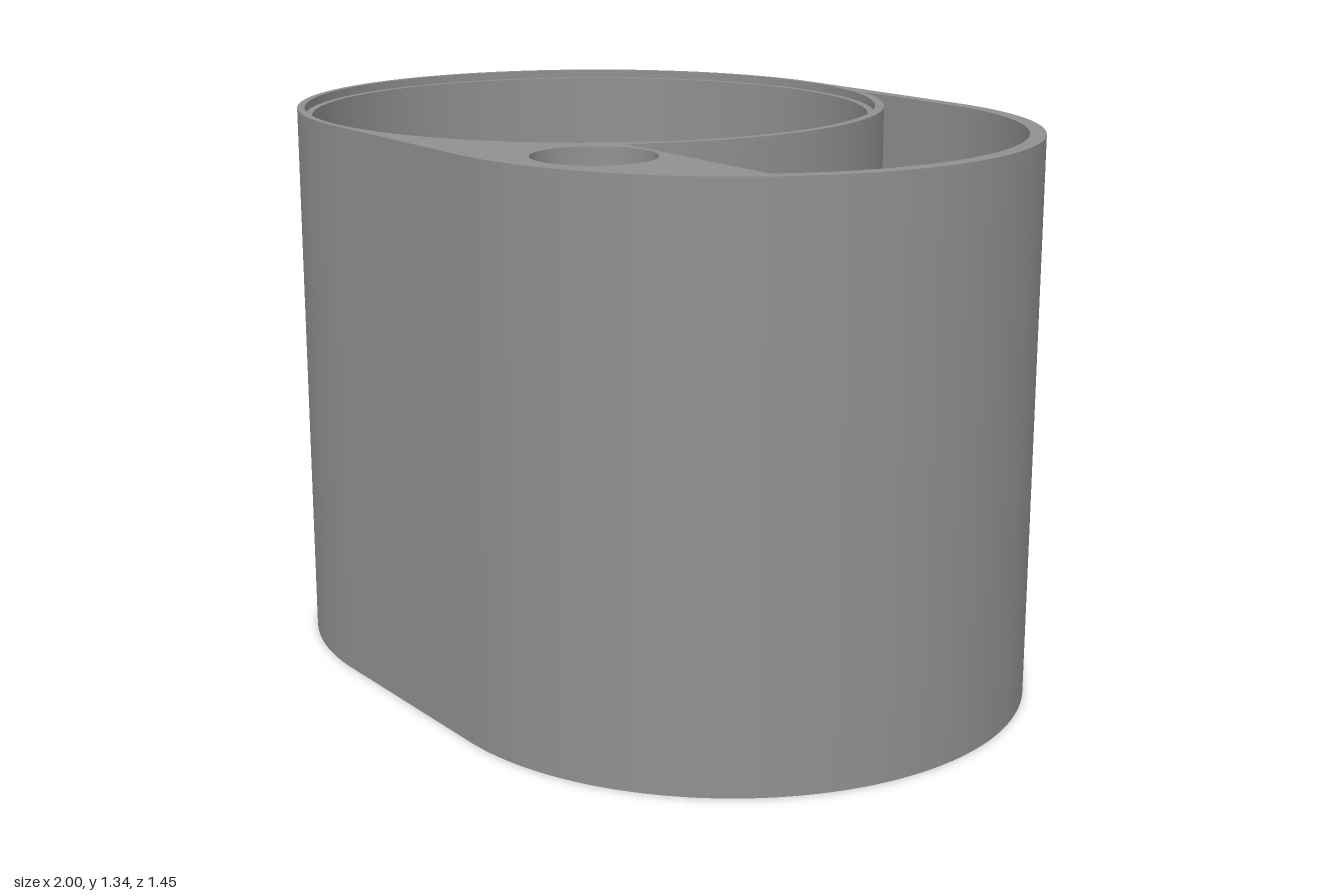
import * as THREE from 'three';
import { toCreasedNormals } from 'three/addons/utils/BufferGeometryUtils.js';

const H = 1.335;       // overall height
const C = 0.2775;      // offset of the two round ends from the middle
const R = 0.7225;      // radius of the round ends
const FLOOR = 0.05;    // floor level of the wells
const LEDGE = 1.0;     // level of the step in the side pocket
const RIM = 0.02;      // depth of the step in the round well
const SEG = 64;

// Outlines are drawn in plan, with shape y pointing to the back.
function stadium() {
  const s = new THREE.Shape();
  s.absarc(C, 0, R, -Math.PI / 2, Math.PI / 2, false);
  s.absarc(-C, 0, R, Math.PI / 2, Math.PI * 1.5, false);
  s.closePath();
  return s;
}

function circle(x, z, r) {
  return new THREE.Shape().absarc(x, -z, r, 0, Math.PI * 2, false);
}

// Pocket between the round well, the outer wall and a straight front edge.
function pocket(rOut, rIn, zFront) {
  const s = new THREE.Shape();
  s.moveTo(-C + Math.sqrt(rIn * rIn - rOut * rOut), rOut);
  s.lineTo(C, rOut);
  s.absarc(C, 0, rOut, Math.PI / 2, -Math.asin(zFront / rOut), true);
  s.lineTo(-C + Math.sqrt(rIn * rIn - zFront * zFront), -zFront);
  s.absarc(-C, 0, rIn, -Math.asin(zFront / rIn), Math.asin(rOut / rIn), false);
  return s;
}

// Horizontal face at height y, with optional openings.
function flat(outline, holes, y) {
  const s = outline.clone();
  s.holes = holes;
  return new THREE.ShapeGeometry(s, SEG).rotateX(-Math.PI / 2).translate(0, y, 0);
}

// Vertical wall that follows an outline from y0 up to y1.
function wall(outline, y0, y1) {
  const pts = outline.getPoints(SEG).filter((p, i, a) => i === 0 || p.distanceTo(a[i - 1]) > 1e-5);
  if (pts[0].distanceTo(pts[pts.length - 1]) < 1e-5) pts.pop();
  const pos = [], idx = [], n = pts.length;
  for (const p of pts) pos.push(p.x, y0, -p.y, p.x, y1, -p.y);
  for (let i = 0; i < n; i++) {
    const a = 2 * i, b = 2 * ((i + 1) % n);
    idx.push(a, b, b + 1, a, b + 1, a + 1);
  }
  const g = new THREE.BufferGeometry();
  g.setAttribute('position', new THREE.Float32BufferAttribute(pos, 3));
  g.setIndex(idx);
  g.computeVertexNormals();
  return toCreasedNormals(g, 0.5);
}

export function createModel() {
  const model = new THREE.Group();
  model.name = 'organizer';
  const grey = new THREE.MeshStandardMaterial({ color: 0x909090, side: THREE.DoubleSide });
  grey.name = 'grey';
  const add = (name, geometry) => {
    const m = new THREE.Mesh(geometry, grey);
    m.name = name;
    model.add(m);
    return m;
  };

  const body = stadium();
  const wellRim = circle(-C, 0, 0.705);
  const well = circle(-C, 0, 0.687);
  const upper = pocket(0.685, 0.727, 0.35);
  const lower = pocket(0.645, 0.766, 0.31);
  const hole = { x: 0.465, z: 0.5, top: 0.137, bottom: 0.1 };

  // Outer body
  add('outerWall', wall(body, 0, H));
  add('base', new THREE.ShapeGeometry(body, SEG).rotateX(Math.PI / 2));
  add('topFace', flat(body, [wellRim, upper, circle(hole.x, hole.z, hole.top)], H));

  // Round well with a shallow seat around its mouth
  add('wellRimWall', wall(wellRim, H - RIM, H));
  add('wellSeat', flat(wellRim, [well], H - RIM));
  add('wellWall', wall(well, FLOOR, H - RIM));
  add('wellFloor', flat(well, [], FLOOR));

  // Side pocket with a ledge partway down
  add('pocketUpperWall', wall(upper, LEDGE, H));
  add('pocketLedge', flat(upper, [lower], LEDGE));
  add('pocketLowerWall', wall(lower, FLOOR, LEDGE));
  add('pocketFloor', flat(lower, [], FLOOR));

  // Tapered small hole
  const depth = H - FLOOR;
  add('smallHoleWall', new THREE.CylinderGeometry(hole.top, hole.bottom, depth, 48, 1, true)
    .translate(hole.x, FLOOR + depth / 2, hole.z));
  add('smallHoleFloor', flat(circle(hole.x, hole.z, hole.bottom), [], FLOOR));

  return model;
}
